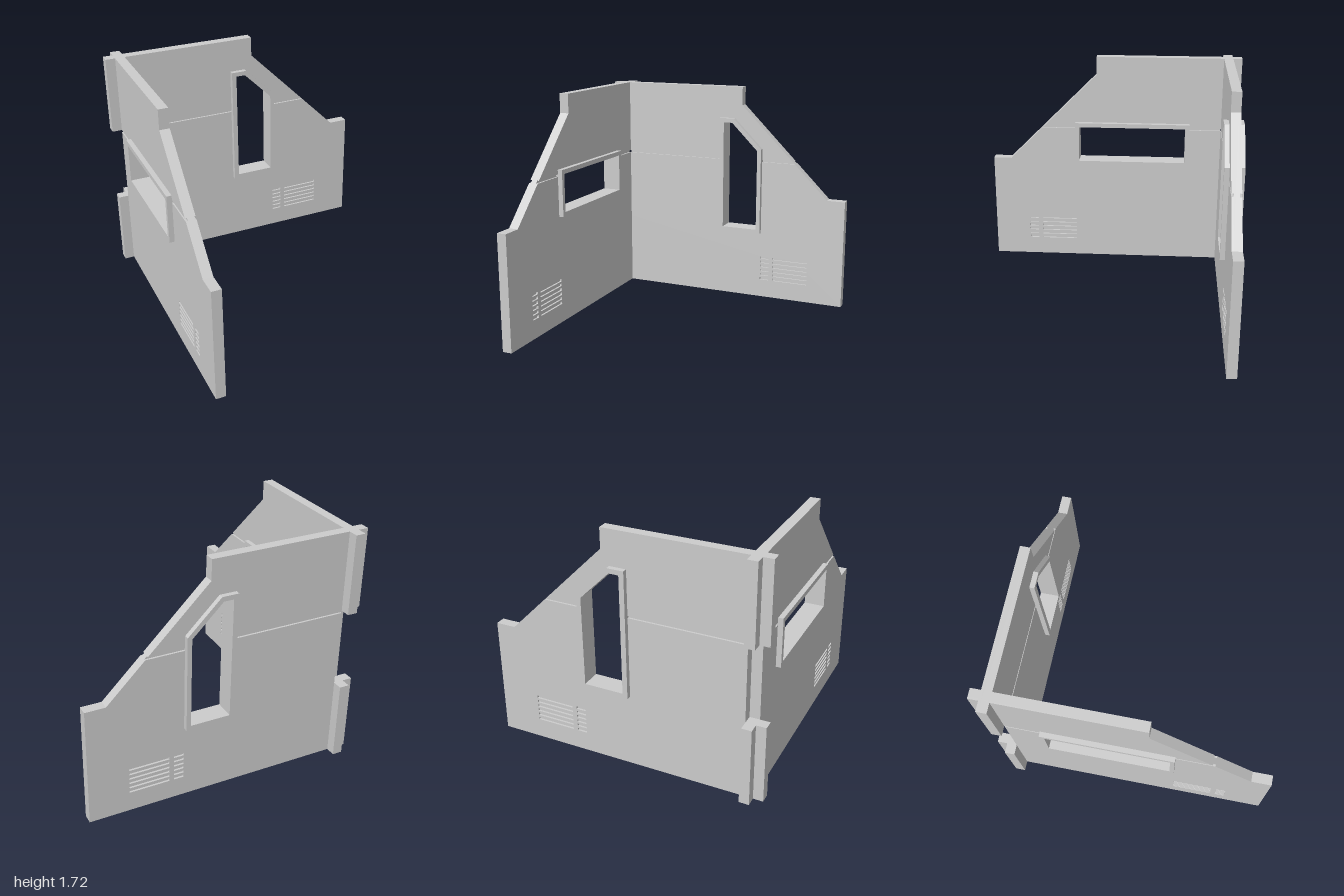
import * as THREE from 'three';

const material = new THREE.MeshStandardMaterial({ color: 0xcccccc, flatShading: true });

const THICK = 0.0714;                // wall thickness
const SKIN = 0.0143;                 // depth of seam and vent recesses
const CENTRE = -0.893;               // wall centre plane
const INNER = CENTRE + THICK / 2;    // inner corner, where the open notch ends
const SEAM_LOW = 1.125, SEAM_HIGH = 1.143;
const slopeU = (y) => 1.714 - y;     // 45 degree slope

const path = (points) => points.map(([u, y]) => new THREE.Vector2(u, y));

// Flat plate from an outline with holes, centred on depth w
function plate(name, outline, holes, depth, w = 0) {
  const points = path(outline);
  // Outline must run counter-clockwise so that hole walls face inwards
  if (THREE.ShapeUtils.isClockWise(points)) points.reverse();
  const shape = new THREE.Shape(points);
  for (const hole of holes) shape.holes.push(new THREE.Path(path(hole)));
  const geometry = new THREE.ExtrudeGeometry(shape, { depth, bevelEnabled: false });
  geometry.translate(0, 0, w - depth / 2);
  const mesh = new THREE.Mesh(geometry, material);
  mesh.name = name;
  return mesh;
}

// Rows of recessed vent slots for each [start, end] column
function ventSlots(columns) {
  const slots = [];
  for (const [u0, u1] of columns) {
    for (let row = 0; row < 6; row++) {
      const y = 0.154 + row * 0.0356, h = 0.01, r = 0.002;
      slots.push([
        [u0 + r, y - h], [u1 - r, y - h], [u1, y - h + r], [u1, y + h - r],
        [u1 - r, y + h], [u0 + r, y + h], [u0, y + h - r], [u0, y - h + r],
      ]);
    }
  }
  return slots;
}

// One wall: solid core, grooved skins on both faces, and a window frame.
// Frame outlines run clockwise from the bottom left corner.
function buildWall(name, frameOuter, frameInner, ventColumns) {
  const wall = new THREE.Group();
  wall.name = name;

  // The corner end is notched between the upper and lower stubs
  const upperEdge = [[0.143, 1.571], [0.143, 1.716], [-1, 1.716], [-1, SEAM_HIGH]];
  const lowerLeft = [[INNER, 0.572], [-1, 0.572]];
  const lowerRight = [[-1, 0], [1, 0], [1, 0.857], [0.857, 0.857]];

  wall.add(plate('wallCore',
    [...lowerRight, ...upperEdge, [INNER, SEAM_HIGH], ...lowerLeft],
    [frameOuter], THICK - 2 * SKIN));

  // Skins leave the seam open and step around the frame
  const left = frameOuter[0][0], right = frameOuter.at(-1)[0];
  const upper = [
    [left, SEAM_HIGH], ...frameOuter.filter(([, y]) => y > SEAM_HIGH),
    [right, SEAM_HIGH], [slopeU(SEAM_HIGH), SEAM_HIGH], ...upperEdge,
  ];
  const lower = [
    ...lowerRight, [slopeU(SEAM_LOW), SEAM_LOW], [right, SEAM_LOW],
    frameOuter.at(-1), frameOuter[0], [left, SEAM_LOW],
    [INNER, SEAM_LOW], ...lowerLeft,
  ];
  for (const side of [-1, 1]) {
    const w = side * (THICK - SKIN) / 2;
    wall.add(plate('upperSkin', upper, [], SKIN, w));
    wall.add(plate('lowerSkin', lower, ventSlots(ventColumns), SKIN, w));
  }

  wall.add(plate('windowFrame', frameOuter, [frameInner], 0.143));
  return wall;
}

export function createModel() {
  const model = new THREE.Group();
  model.name = 'cornerWalls';

  // Back wall with the tall, clipped-corner window
  const backWall = buildWall('backWall',
    [[-0.036, 0.539], [-0.036, 1.465], [0.084, 1.465], [0.318, 1.231], [0.318, 0.539]],
    [[0, 0.572], [0, 1.431], [0.071, 1.431], [0.286, 1.216], [0.286, 0.572]],
    [[0.318, 0.391], [0.424, 0.713]]);
  backWall.position.z = CENTRE;
  model.add(backWall);

  // Side wall with the wide window, running from back to front
  const sideWall = buildWall('sideWall',
    [[-0.607, 0.824], [-0.607, 1.178], [0.318, 1.178], [0.318, 0.824]],
    [[-0.573, 0.857], [-0.573, 1.144], [0.287, 1.144], [0.287, 0.857]],
    [[0.318, 0.608], [0.643, 0.715]]);
  sideWall.rotation.y = -Math.PI / 2;
  sideWall.position.x = CENTRE;
  model.add(sideWall);

  return model;
}
